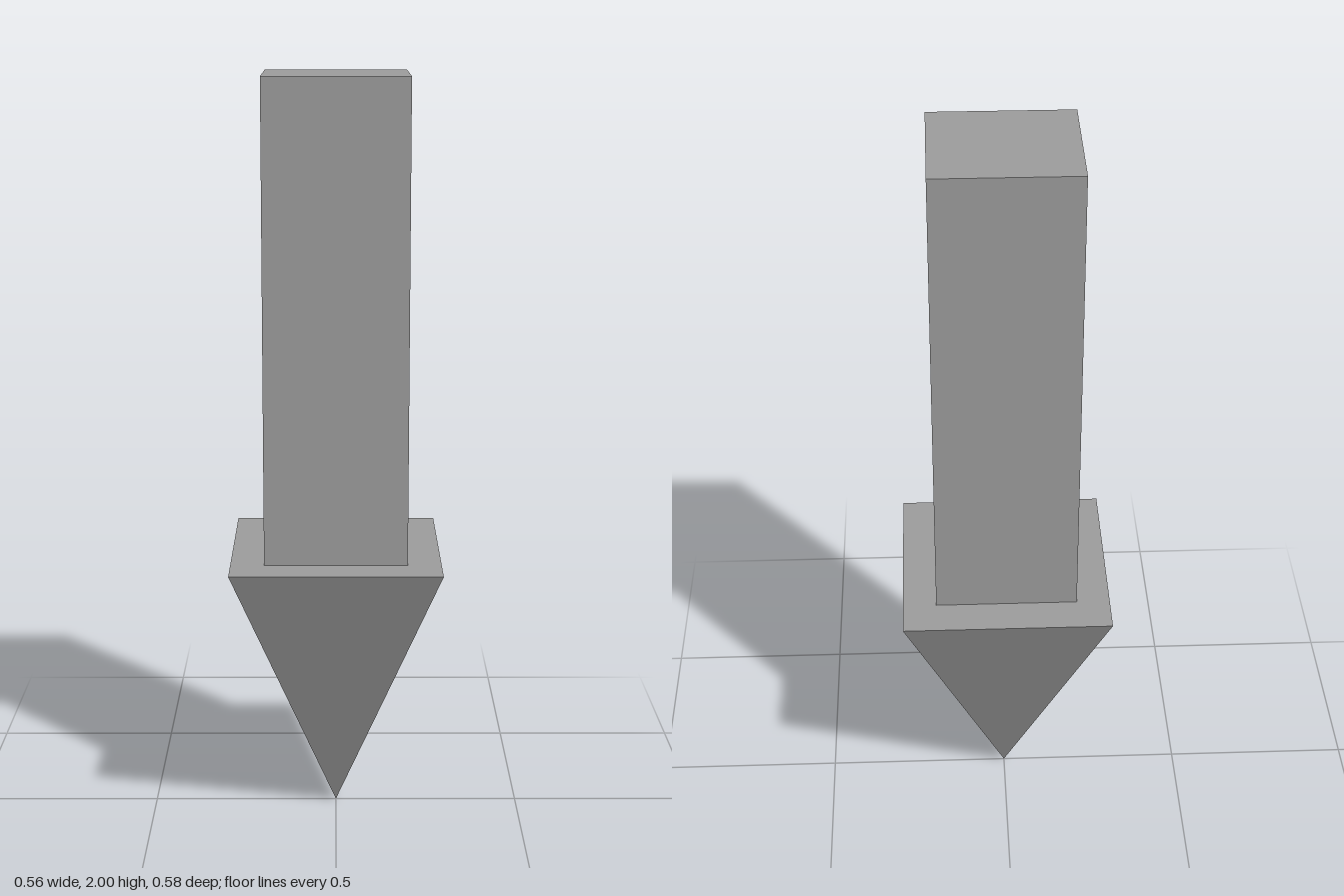
import * as THREE from 'three';

const TOP = 2, HEAD_TOP = 0.735;
const SHAFT_X = 0.378, SHAFT_Z = 0.367;
const HEAD_X = 0.556, HEAD_Z = 0.58;

export function createModel() {
  const group = new THREE.Group();
  group.name = 'downArrow';
  const material = new THREE.MeshStandardMaterial({ color: 0x9c9c9c, flatShading: true });

  // Rectangular shaft standing on the head
  const shaftHeight = TOP - HEAD_TOP;
  const shaft = new THREE.Mesh(new THREE.BoxGeometry(SHAFT_X, shaftHeight, SHAFT_Z), material);
  shaft.name = 'shaft';
  shaft.position.y = HEAD_TOP + shaftHeight / 2;
  group.add(shaft);

  // Four-sided pyramid head, point down; unit-square base scaled to size
  const headGeometry = new THREE.ConeGeometry(Math.SQRT1_2, HEAD_TOP, 4)
    .rotateY(Math.PI / 4)
    .rotateX(Math.PI)
    .scale(HEAD_X, 1, HEAD_Z);
  const head = new THREE.Mesh(headGeometry, material);
  head.name = 'arrowHead';
  head.position.y = HEAD_TOP / 2;
  group.add(head);

  return group;
}
